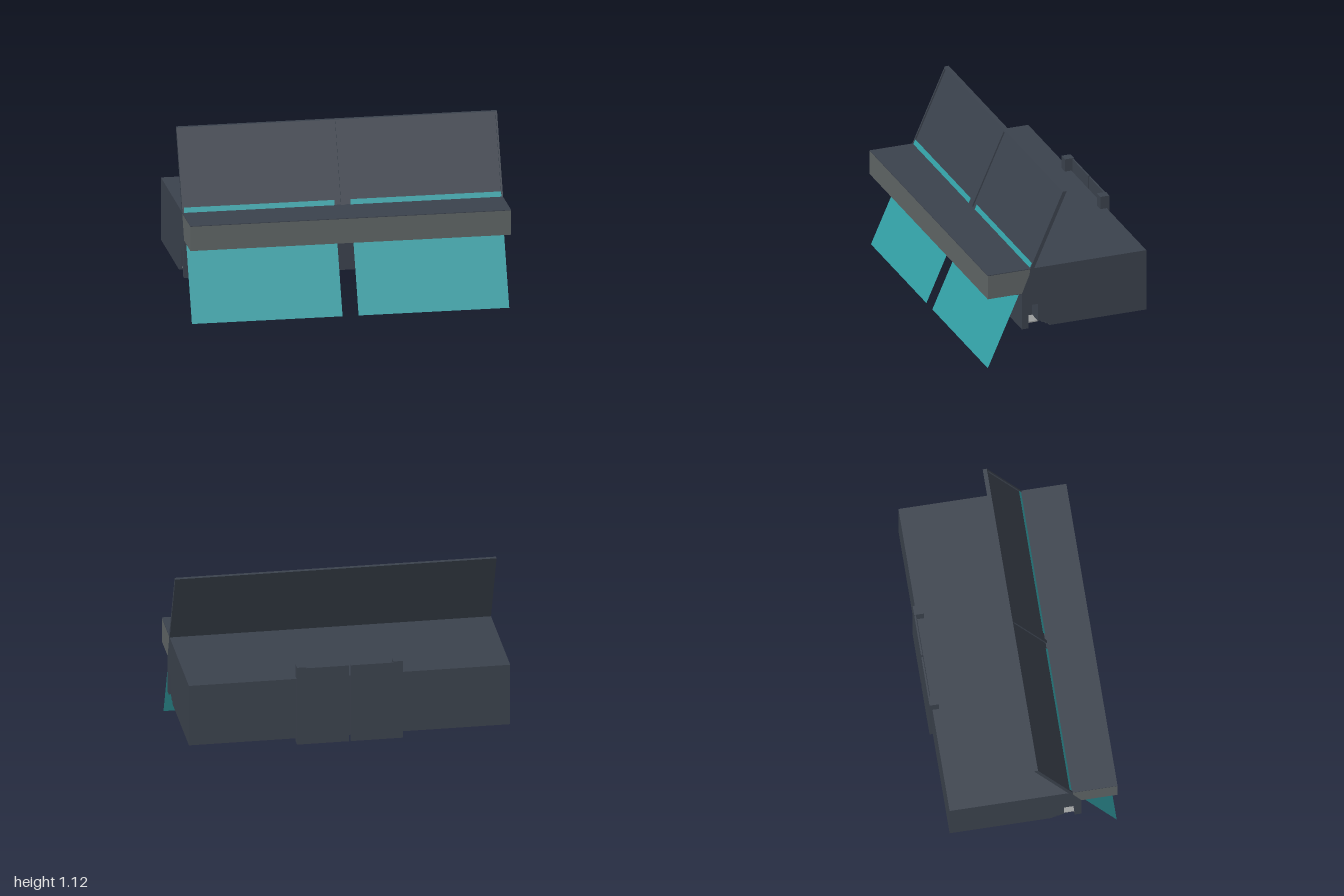
import * as THREE from 'three';

export function createModel() {
  const model = new THREE.Group();
  const mat = (name, color, side = THREE.FrontSide) => {
    const m = new THREE.MeshStandardMaterial({ color, side });
    m.name = name;
    return m;
  };
  const slate = mat('slate', 0x3b424d);
  const grey = mat('grey', 0x5f6566);
  const teal = mat('teal', 0x33a0a6, THREE.DoubleSide);
  const orange = mat('orange', 0xa85a34);
  const olive = mat('olive', 0x77702a);
  const lightGrey = mat('light grey', 0x9a9c9c);

  const add = (name, geometry, material) => {
    const mesh = new THREE.Mesh(geometry, material);
    mesh.name = name;
    model.add(mesh);
    return mesh;
  };
  // Box given by its limits on each axis
  const box = (name, material, x0, x1, y0, y1, z0, z1) => {
    const g = new THREE.BoxGeometry(x1 - x0, y1 - y0, z1 - z0);
    g.translate((x0 + x1) / 2, (y0 + y1) / 2, (z0 + z1) / 2);
    return add(name, g, material);
  };
  // Side profile of [z, y] points swept along x
  const prism = (name, material, points, x0, x1) => {
    const shape = new THREE.Shape(points.map(([z, y]) => new THREE.Vector2(-z, y)));
    const g = new THREE.ExtrudeGeometry(shape, { depth: x1 - x0, bevelEnabled: false });
    g.rotateY(Math.PI / 2).translate(x0, 0, 0);
    return add(name, g, material);
  };

  // Main case: solid middle, and ends with stepped notches near the front
  const upper = [[-0.515, 0.23], [-0.515, 0.63], [0.25, 0.63], [0.255, 0.59], [0.305, 0.47], [0.305, 0.23]];
  const notch = [[0.262, 0.23], [0.262, 0.385], [0.198, 0.385], [0.198, 0.27], [0.175, 0.27],
    [0.175, 0.258], [0.15, 0.258], [0.15, 0.245], [0.125, 0.245], [0.125, 0.23]];
  prism('caseMiddle', slate, upper, -0.9, 0.9);
  for (const s of [-1, 1]) {
    prism('caseEnd', slate, [...upper, ...notch], s < 0 ? -1 : 0.9, s < 0 ? -0.9 : 1);
    box('notchShelf', lightGrey, s * 0.945 - 0.045, s * 0.945 + 0.045, 0.262, 0.27, 0.198, 0.262);
  }

  // Front ledge with a thin top skin
  prism('ledge', grey, [[0.53, 0.47], [0.53, 0.626], [0.25, 0.626], [0.255, 0.59], [0.305, 0.47]], -1, 1);
  box('ledgeTop', slate, -1, 1, 0.626, 0.63, 0.25, 0.53);
  box('ledgeLip', slate, -0.99, 0.99, 0.463, 0.47, 0.3, 0.34);

  // Leaning panel with a shallow raised frame
  const slope = 0.443, top = 1.115;
  const face = (y) => 0.035 + slope * (top - y);
  const slab = (name, y0, y1, back, front, x0, x1) => prism(name, slate, [
    [face(y0) + back, y0], [face(y1) + back, y1], [face(y1) + front, y1], [face(y0) + front, y0]], x0, x1);
  slab('panelBack', 0.625, top, -0.026, -0.01, -1, 1);
  slab('panelTopRim', top - 0.012, top, -0.01, 0, -1, 1);
  for (const x of [-0.995, 0, 0.995]) {
    const half = x ? 0.005 : 0.01;
    slab('panelRib', 0.625, top - 0.012, -0.01, 0, x - half, x + half);
  }

  // Two thin sheets continuing the slope of the panel down through the ledge
  const sheetTop = 0.66;
  for (const s of [-1, 1]) {
    const g = new THREE.PlaneGeometry(0.94, sheetTop * Math.hypot(1, slope));
    g.rotateX(-Math.atan(slope)).translate(s * 0.52, sheetTop / 2, face(sheetTop / 2) - 0.003);
    add('sheet', g, teal);
  }

  // Back plates and their posts
  for (const s of [-1, 1]) {
    box('backPlate', slate, s * 0.168 - 0.162, s * 0.168 + 0.162, 0.195, 0.705, -0.533, -0.523);
    box('backPost', slate, s * 0.3 - 0.03, s * 0.3 + 0.03, 0.195, 0.712, -0.533, -0.473);
  }

  // Painted pads under the case
  const pad = (name, material, x, z, w, d) =>
    box(name, material, x - w / 2, x + w / 2, 0.226, 0.231, z - d / 2, z + d / 2);
  for (const [x, z] of [[0.45, -0.29], [-0.52, 0.13]]) pad('orangePad', orange, x, z, 0.18, 0.18);
  for (const [x, z] of [[0.16, -0.01], [-0.26, -0.18]]) {
    pad('olivePad', olive, x, z, 0.08, 0.29);
    for (const dz of [-0.08, 0.08]) pad('oliveTab', olive, x, z + dz, 0.13, 0.07);
  }
  return model;
}
